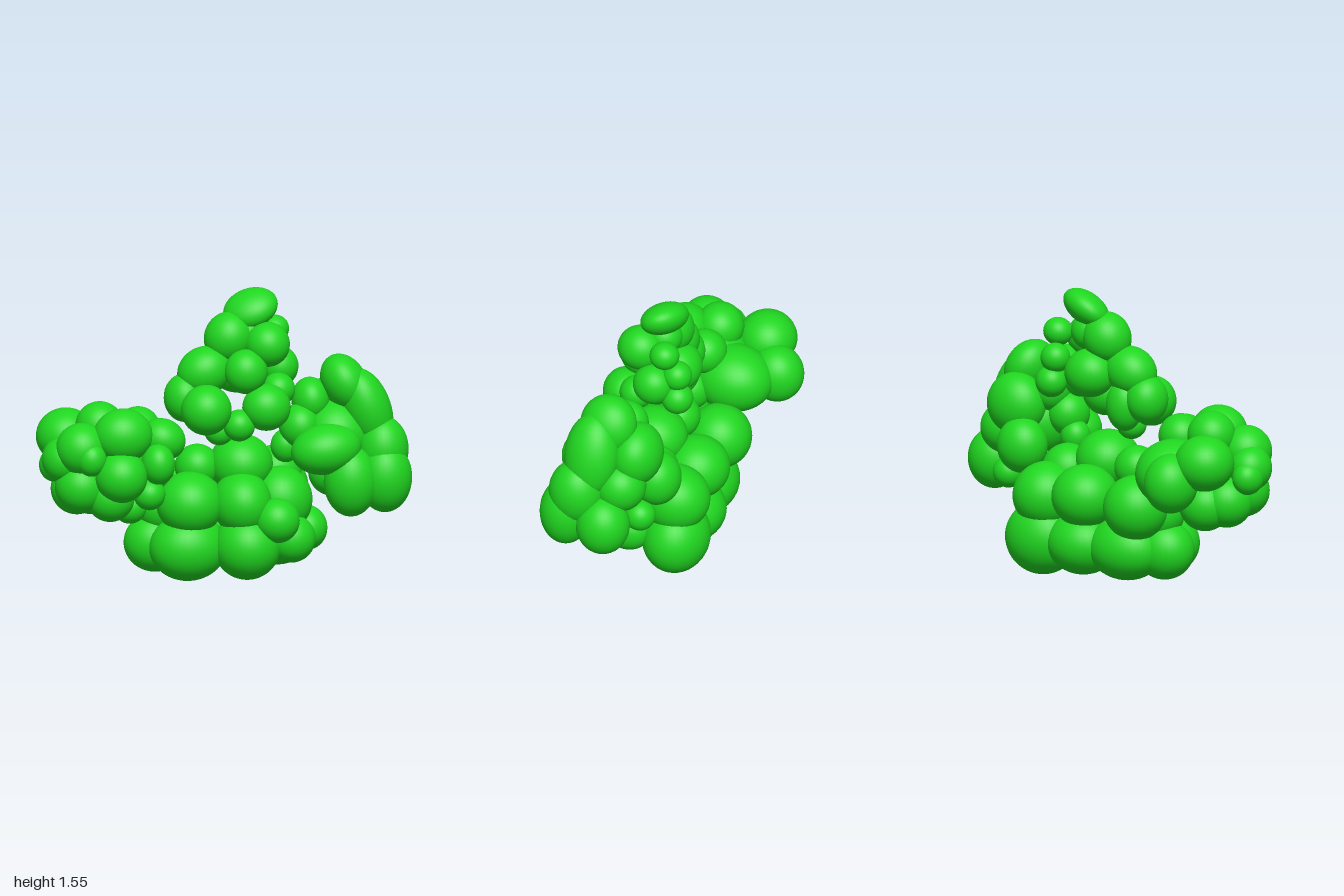
import * as THREE from 'three';

const leafGreen = new THREE.MeshStandardMaterial({ color: 0x20d620 });
leafGreen.name = 'leafGreen';
const ball = new THREE.SphereGeometry(1, 32, 22);

// A clump is a group of overlapping ellipsoid puffs.
// Each puff: centre x, y, z, radii x, y, z, then optional tilt about z and x in degrees.
function clump(name, puffs) {
  const group = new THREE.Group();
  group.name = name;
  puffs.forEach(([x, y, z, rx, ry = rx, rz = rx, tiltZ = 0, tiltX = 0], i) => {
    const mesh = new THREE.Mesh(ball, leafGreen);
    mesh.name = `${name}Puff${i + 1}`;
    mesh.position.set(x, y, z);
    mesh.scale.set(rx, ry, rz);
    mesh.rotation.set(THREE.MathUtils.degToRad(tiltX), 0, THREE.MathUtils.degToRad(tiltZ));
    group.add(mesh);
  });
  return group;
}

export function createModel() {
  const model = new THREE.Group();
  model.name = 'foliage';

  // Wide bottom clump: lower ring
  model.add(clump('baseLower', [
    [0.08, 0.21, 0.25, 0.18, 0.18, 0.19],
    [-0.22, 0.2, 0.16, 0.21, 0.18, 0.18],
    [-0.36, 0.2, 0, 0.17, 0.16, 0.15],
    [0.32, 0.24, 0.26, 0.13],
    [0.45, 0.25, 0.08, 0.11, 0.12, 0.13],
    [0.35, 0.2, -0.155, 0.21, 0.2, 0.18],
    [-0.18, 0.2, -0.1, 0.22, 0.17, 0.18],
    [0.09, 0.2, -0.13, 0.2, 0.17, 0.19],
  ]));

  // Wide bottom clump: upper mounds
  model.add(clump('baseUpper', [
    [0.09, 0.62, 0.08, 0.17, 0.16, 0.18],
    [-0.14, 0.61, 0.04, 0.12],
    [-0.21, 0.44, 0.16, 0.18, 0.17, 0.18],
    [0.06, 0.44, 0.22, 0.16, 0.17, 0.18],
    [0.29, 0.43, 0.15, 0.17, 0.18, 0.17],
    [0.225, 0.36, 0.335, 0.12],
    [-0.32, 0.39, 0, 0.14],
    [-0.28, 0.44, -0.14, 0.175],
    [0.06, 0.46, -0.15, 0.18, 0.17, 0.18],
    [0.33, 0.43, -0.14, 0.18, 0.18, 0.19],
    [0.3, 0.55, 0, 0.14],
  ]));

  // Clump on the model's right: front puffs
  model.add(clump('rightFront', [
    [-0.585, 0.84, 0.19, 0.16, 0.145, 0.14],
    [-0.61, 0.63, 0.25, 0.14],
    [-0.77, 0.73, 0.24, 0.08, 0.09, 0.08],
    [-0.8, 0.77, 0.15, 0.14],
    [-0.89, 0.7, 0.08, 0.11, 0.12, 0.12],
    [-0.92, 0.66, 0.02, 0.08, 0.09, 0.09],
    [-0.8, 0.56, 0.13, 0.14],
    [-0.36, 0.8, 0.16, 0.125, 0.11, 0.12, -25],
    [-0.41, 0.69, 0.26, 0.09, 0.11, 0.1],
    [-0.45, 0.52, 0.23, 0.085],
    [-0.53, 0.43, 0.12, 0.09],
    [-0.65, 0.5, 0.17, 0.13],
  ]));

  // Clump on the model's right: back puffs
  model.add(clump('rightBack', [
    [-0.67, 0.86, 0.02, 0.13],
    [-0.46, 0.83, 0.02, 0.12],
    [-0.8, 0.76, -0.2, 0.16, 0.15, 0.16],
    [-0.66, 0.65, -0.31, 0.14, 0.16, 0.15],
    [-0.52, 0.66, -0.12, 0.19, 0.18, 0.22],
    [-0.7, 0.5, -0.07, 0.14],
    [-0.79, 0.52, 0, 0.14],
    [-0.4, 0.62, 0.08, 0.12],
    [-0.62, 0.66, 0.05, 0.22],
  ]));

  // Tall clump on the model's left
  model.add(clump('left', [
    [0.65, 1.04, 0.11, 0.12, 0.16, 0.155, 25],
    [0.76, 0.9, 0.16, 0.13, 0.23, 0.15, 18],
    [0.83, 0.69, 0.22, 0.14, 0.18, 0.15],
    [0.85, 0.53, 0.06, 0.145, 0.165, 0.145],
    [0.83, 0.55, 0.28, 0.145, 0.19, 0.14],
    [0.64, 0.54, 0.29, 0.145, 0.19, 0.14],
    [0.51, 0.72, 0.27, 0.19, 0.135, 0.15, 8],
    [0.47, 0.95, 0.08, 0.1, 0.12, 0.12],
    [0.4, 0.82, 0.13, 0.11, 0.12, 0.12],
    [0.33, 0.71, 0.1, 0.08, 0.09, 0.08],
    [0.62, 0.87, -0.04, 0.17, 0.17, 0.14],
    [0.52, 0.67, -0.115, 0.14, 0.15, 0.13],
    [0.73, 0.72, 0.01, 0.14],
    [0.65, 0.5, -0.07, 0.085],
    [0.6, 0.54, 0.05, 0.13],
    [0.6, 0.76, 0.12, 0.19],
  ]));

  // Peak clump: upper puffs
  model.add(clump('peakUpper', [
    [0.165, 1.445, -0.01, 0.15, 0.085, 0.125, 22, 30],
    [0.04, 1.3, 0.01, 0.13, 0.14, 0.13, -30],
    [0.23, 1.27, 0.1, 0.12, 0.12, 0.125],
    [0.31, 1.31, -0.07, 0.08, 0.075, 0.08, 15],
    [0.15, 1.32, 0, 0.1],
    [-0.1, 1.13, 0.04, 0.15, 0.13, 0.13, 25],
    [0.1, 1.14, 0.15, 0.115, 0.12, 0.11],
    [0.32, 1.12, -0.01, 0.105, 0.11, 0.11],
    [0.28, 1.18, -0.13, 0.08],
    [0.1, 1.11, -0.06, 0.14, 0.13, 0.13],
  ]));

  // Peak clump: lower arch with a hollow centre
  model.add(clump('peakLower', [
    [-0.125, 0.95, 0.18, 0.135],
    [-0.21, 0.99, 0.04, 0.11, 0.13, 0.12],
    [0.2, 0.95, 0.2, 0.13, 0.125, 0.12],
    [0.05, 0.86, 0.2, 0.085],
    [-0.04, 0.82, 0.12, 0.08],
    [0.3, 1.05, -0.14, 0.085],
    [0.29, 1.02, 0.1, 0.09],
    [-0.09, 0.95, 0, 0.1, 0.14, 0.1],
  ]));

  return model;
}
